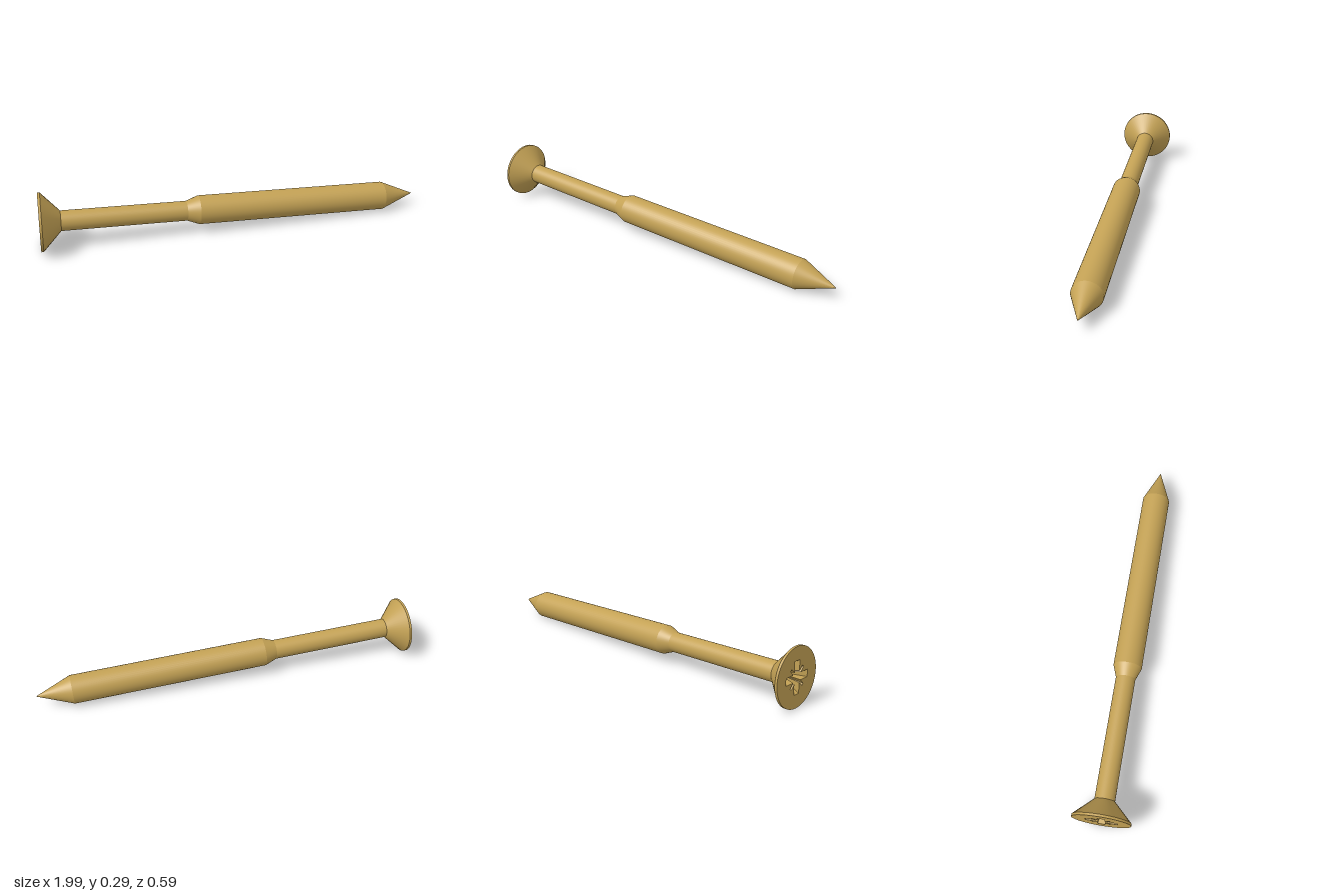
import * as THREE from 'three';

const SEGMENTS = 48;
const HEAD_RADIUS = 0.147;

export function createModel() {
  const brass = new THREE.MeshStandardMaterial({ color: 0xc4a255 });
  brass.name = 'brass';

  const screw = new THREE.Group();
  screw.name = 'screw';
  const add = (name, geometry) => {
    const mesh = new THREE.Mesh(geometry, brass);
    mesh.name = name;
    screw.add(mesh);
  };

  // Turned sections along the local y axis: name, start, start radius, end, end radius.
  // Separate sections keep the edges between them sharp.
  const sections = [
    ['headRim', 0, HEAD_RADIUS, 0.012, HEAD_RADIUS],
    ['headCone', 0.012, HEAD_RADIUS, 0.103, 0.051],
    ['shank', 0.103, 0.051, 0.736, 0.051],
    ['shoulder', 0.736, 0.051, 0.8, 0.0745],
    ['body', 0.8, 0.0745, 1.822, 0.0745],
    ['tip', 1.822, 0.0745, 2.007, 0],
  ];
  for (const [name, y0, r0, y1, r1] of sections) {
    add(name, new THREE.LatheGeometry([new THREE.Vector2(r0, y0), new THREE.Vector2(r1, y1)], SEGMENTS));
  }

  // Outline of the driver recess: four broad arms with narrow diagonal ticks between
  const quarter = [[0.08, -0.018], [0.08, 0.018], [0.028, 0.018], [0.049, 0.041], [0.041, 0.049], [0.018, 0.028]];
  const outline = [];
  for (let k = 0; k < 4; k++) {
    for (const [x, y] of quarter) {
      outline.push(new THREE.Vector2(x, y).rotateAround(new THREE.Vector2(), k * Math.PI / 2));
    }
  }
  const depth = 0.065;
  const floor = outline.map((p) => p.clone().multiplyScalar(0.45));

  // Flat head face with the recess cut out
  const disc = new THREE.Shape().absarc(0, 0, HEAD_RADIUS, 0, Math.PI * 2);
  disc.holes.push(new THREE.Path(outline));
  add('headFace', new THREE.ShapeGeometry(disc, SEGMENTS / 2).rotateX(Math.PI / 2));

  // Tapered recess walls, facing inward
  const walls = [];
  outline.forEach((a, i) => {
    const j = (i + 1) % outline.length;
    const b = outline[j], c = floor[i], d = floor[j];
    walls.push(c.x, c.y, -depth, b.x, b.y, 0, d.x, d.y, -depth);
    walls.push(c.x, c.y, -depth, a.x, a.y, 0, b.x, b.y, 0);
  });
  const wallGeometry = new THREE.BufferGeometry();
  wallGeometry.setAttribute('position', new THREE.Float32BufferAttribute(walls, 3));
  wallGeometry.computeVertexNormals();
  add('recessWalls', wallGeometry.rotateX(Math.PI / 2));
  add('recessFloor', new THREE.ShapeGeometry(new THREE.Shape(floor)).rotateX(Math.PI / 2).translate(0, depth, 0));

  // Lay the screw down from head to tip
  const head = new THREE.Vector3(-0.968, 0.15, -0.155);
  const axis = new THREE.Vector3(0.995, 0.07, 0.262).sub(head).normalize();
  const side = new THREE.Vector3(0, 1, 0).cross(axis).normalize();
  const up = side.clone().cross(axis);
  screw.quaternion.setFromRotationMatrix(new THREE.Matrix4().makeBasis(side, axis, up));
  screw.position.copy(head);

  const model = new THREE.Group();
  model.name = 'model';
  model.add(screw);
  return model;
}
